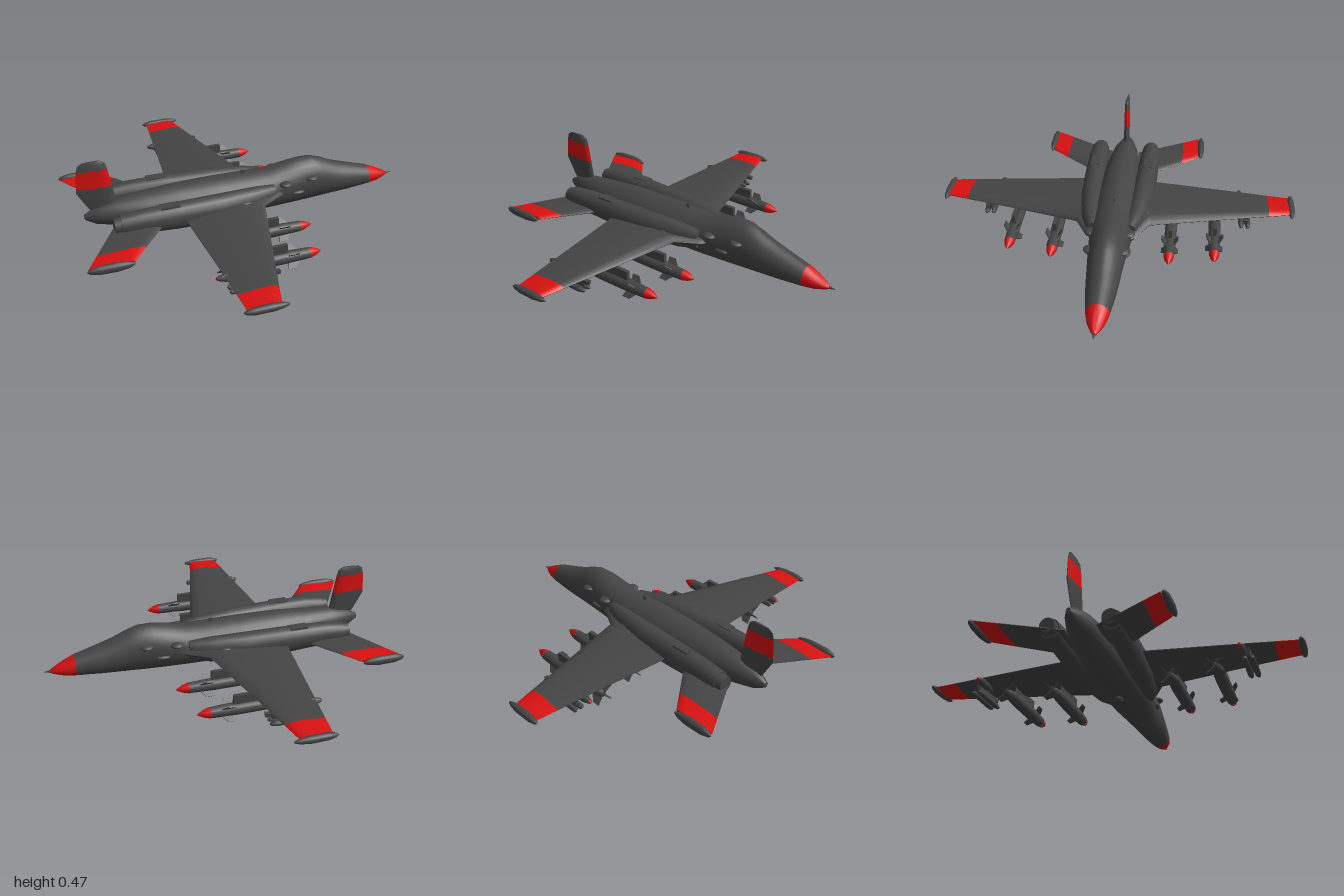
import * as THREE from 'three';
import { toCreasedNormals } from 'three/addons/utils/BufferGeometryUtils.js';

const grey = new THREE.MeshStandardMaterial({ color: 0x444444 });
grey.name = 'dark grey paint';
const red = new THREE.MeshStandardMaterial({ color: 0xd81010 });
red.name = 'red paint';

// Skin a list of equal-length point rings, cap both ends, and face it outwards.
function loft(rings, crease = 0.7) {
  const n = rings[0].length, pos = [], idx = [];
  rings.forEach(r => r.forEach(p => pos.push(...p)));
  for (let i = 0; i < rings.length - 1; i++)
    for (let j = 0; j < n; j++) {
      const a = i * n + j, b = i * n + (j + 1) % n;
      idx.push(a, b, a + n, b, b + n, a + n);
    }
  [0, rings.length - 1].forEach((k, end) => {
    const c = pos.length / 3;
    pos.push(...[0, 1, 2].map(d => rings[k].reduce((s, p) => s + p[d], 0) / n));
    for (let j = 0; j < n; j++) {
      const a = k * n + j, b = k * n + (j + 1) % n;
      idx.push(...(end ? [c, a, b] : [c, b, a]));
    }
  });
  const v = i => new THREE.Vector3().fromArray(pos, i * 3);
  let volume = 0;
  for (let i = 0; i < idx.length; i += 3) volume += v(idx[i]).dot(v(idx[i + 1]).cross(v(idx[i + 2])));
  if (volume < 0) idx.reverse();
  const g = new THREE.BufferGeometry();
  g.setAttribute('position', new THREE.Float32BufferAttribute(pos, 3));
  g.setIndex(idx);
  return toCreasedNormals(g, crease);
}

// Body section at x: top, bottom, half width, offset in z.
function section([x, top, bot, w, z = 0], pinch = 1.15, n = 28) {
  const mid = bot + (top - bot) * 0.5;
  return Array.from({ length: n }, (_, i) => {
    const a = i / n * Math.PI * 2, c = Math.cos(a);
    return [x, mid + Math.sin(a) * (top - bot) / 2, z + Math.sign(c) * Math.abs(c) ** pinch * w];
  });
}

// Aerofoil outline: fraction of the chord and half thickness.
const foil = [[0, 0], [0.04, 0.55], [0.15, 0.9], [0.35, 1], [0.7, 0.65], [1, 0.12],
  [1, -0.12], [0.7, -0.65], [0.35, -1], [0.15, -0.9], [0.04, -0.55]];
// Station [span, leading x, trailing x, height, half thickness]; interpolated at any span.
function stationAt(list, s) {
  let i = 0;
  while (i < list.length - 2 && s > list[i + 1][0]) i++;
  const a = list[i], b = list[i + 1], t = (s - a[0]) / (b[0] - a[0]);
  return a.map((q, k) => q + (b[k] - q) * t);
}
function surface(list, from, to, place) {
  const spans = [from, ...list.map(l => l[0]).filter(s => s > from && s < to), to];
  return loft(spans.map(s => {
    const [, le, te, h, th] = stationAt(list, s);
    return foil.map(([c, t]) => place(le + (te - le) * c, h, t * th, s));
  }));
}

export function createModel() {
  const root = new THREE.Group();
  root.name = 'jetAircraft';
  function add(name, geo, mat = grey, x = 0, y = 0, z = 0, parent = root) {
    const m = new THREE.Mesh(geo, mat);
    m.name = name;
    m.position.set(x, y, z);
    parent.add(m);
    return m;
  }
  // Round body along x from [x, radius] points, given back to front.
  const turned = (pts, sides = 16) =>
    new THREE.LatheGeometry(pts.map(([x, r]) => new THREE.Vector2(r, x)), sides).rotateZ(-Math.PI / 2);
  const blob = (name, x, y, z, sx, sy, sz) =>
    add(name, new THREE.SphereGeometry(1, 14, 10).scale(sx, sy, sz), grey, x, y, z);

  // Fuselage with the canopy hump, and the red nose
  add('fuselage', loft([
    [-0.86, 0.165, 0.135, 0.012], [-0.8, 0.2, 0.1, 0.04], [-0.7, 0.225, 0.08, 0.07],
    [-0.54, 0.24, 0.05, 0.095], [-0.37, 0.252, 0.033, 0.11], [-0.15, 0.255, 0.022, 0.12],
    [0.05, 0.253, 0.02, 0.12], [0.16, 0.255, 0.02, 0.115], [0.26, 0.275, 0.02, 0.108],
    [0.34, 0.288, 0.021, 0.1], [0.41, 0.288, 0.024, 0.095], [0.47, 0.268, 0.028, 0.09],
    [0.54, 0.235, 0.033, 0.085], [0.62, 0.208, 0.038, 0.078], [0.76, 0.165, 0.05, 0.06],
  ].map(s => section(s))));
  add('noseCone', loft([[0.76, 0.165, 0.05, 0.06], [0.82, 0.138, 0.058, 0.045],
    [0.87, 0.112, 0.072, 0.022], [0.89, 0.099, 0.081, 0.01]].map(s => section(s))), red);
  add('noseProbe', turned([[0.88, 0.012], [0.9, 0.006], [0.925, 0.001]], 8), grey, 0, 0.09);
  blob('bellyBump', -0.1, 0.022, 0, 0.04, 0.022, 0.025);
  blob('bellySensor', 0.3, 0.03, 0, 0.05, 0.016, 0.025);
  add('spineAntenna', new THREE.BoxGeometry(0.02, 0.025, 0.008), grey, 0.01, 0.26);

  // Fin with a red band
  const fin = [[0.15, -0.66, -0.8, 0, 0.016], [0.2, -0.685, -0.835, 0, 0.016],
    [0.3, -0.7, -0.89, 0, 0.016], [0.42, -0.72, -0.88, 0, 0.015],
    [0.455, -0.73, -0.87, 0, 0.013], [0.47, -0.755, -0.845, 0, 0.006]];
  const upright = (x, h, t, s) => [x, s, t];
  add('finBase', surface(fin, 0.15, 0.32, upright));
  add('finBand', surface(fin, 0.32, 0.42, upright), red);
  add('finTip', surface(fin, 0.42, 0.47, upright));

  const wing = [[0.05, 0.24, -0.37, 0.15, 0.03], [0.13, 0.2, -0.368, 0.15, 0.028],
    [0.2, 0.07, -0.365, 0.148, 0.026], [0.6, -0.037, -0.33, 0.14, 0.019], [0.97, -0.135, -0.3, 0.13, 0.013]];
  const tail = [[0.08, -0.4, -0.7, 0.145, 0.016], [0.21, -0.5, -0.78, 0.14, 0.014],
    [0.45, -0.695, -0.925, 0.136, 0.011]];

  for (const s of [1, -1]) {
    const side = s > 0 ? 'left' : 'right';
    const flat = (x, h, t, span) => [x, h + t, s * span];

    // Wing and tailplane with red bands and tip pods
    add(side + 'Wing', surface(wing, 0.05, 0.85, flat));
    add(side + 'WingBand', surface(wing, 0.85, 0.965, flat), red);
    add(side + 'Tailplane', surface(tail, 0.08, 0.35, flat));
    add(side + 'TailBand', surface(tail, 0.35, 0.445, flat), red);
    const pod = [[-0.115, 0], [-0.1, 0.011], [-0.06, 0.019], [0.03, 0.02], [0.08, 0.014], [0.105, 0.006], [0.11, 0]];
    add(side + 'WingTipPod', turned(pod), grey, -0.21, 0.13, s * 0.978);
    add(side + 'TailTipPod', turned(pod).scale(1.06, 1.25, 1), grey, -0.81, 0.135, s * 0.46);

    // Engine nacelle beside the fuselage, with a nozzle
    add(side + 'Nacelle', loft([[-0.7, 0.215, 0.11, 0.05, 0.155], [-0.6, 0.228, 0.1, 0.056, 0.155],
      [-0.4, 0.232, 0.085, 0.062, 0.15], [-0.15, 0.23, 0.075, 0.065, 0.14], [0.05, 0.222, 0.08, 0.055, 0.12],
      [0.16, 0.205, 0.1, 0.035, 0.1]].map(([x, t, b, w, z]) => section([x, t, b, w, s * z], 0.95, 20))));
    add(side + 'Nozzle', new THREE.CylinderGeometry(0.045, 0.04, 0.04, 16).rotateZ(-Math.PI / 2),
      grey, -0.715, 0.163, s * 0.155);

    // Small blisters and scoops on the fuselage sides
    blob(side + 'FrontBlister', 0.385, 0.2, s * 0.085, 0.036, 0.014, 0.034);
    blob(side + 'RearBlister', 0.225, 0.195, s * 0.1, 0.036, 0.015, 0.034);
    blob(side + 'CheekBlister', 0.3, 0.13, s * 0.1, 0.04, 0.012, 0.018);
    blob(side + 'NacelleScoop', -0.03, 0.155, s * 0.175, 0.05, 0.025, 0.025);
    add(side + 'EngineVent', new THREE.BoxGeometry(0.1, 0.02, 0.05), grey, -0.44, 0.222, s * 0.155);

    // Missiles on pylons
    for (const [label, z, tip] of [['Inner', 0.315, 0.29], ['Outer', 0.555, 0.245]]) {
      const g = new THREE.Group();
      g.name = side + label + 'Missile';
      g.position.set(tip, 0.06, s * z);
      root.add(g);
      add('missileBody', turned([[-0.53, 0], [-0.53, 0.018], [-0.46, 0.029], [-0.36, 0.033], [-0.18, 0.033], [-0.07, 0.028]]),
        grey, 0, 0, 0, g);
      add('missileNose', turned([[-0.07, 0.029], [-0.04, 0.021], [-0.015, 0.009], [0, 0]]), red, 0, 0, 0, g);
      for (let k = 0; k < 4; k++) {
        const a = Math.PI / 4 + k * Math.PI / 2;
        for (const [name, x, reach] of [['frontFin', -0.15, 0.063], ['rearFin', -0.5, 0.06]]) {
          const shape = new THREE.Shape([[0.04, 0.01], [-0.035, 0.01], [-0.045, reach], [-0.005, reach]]
            .map(p => new THREE.Vector2(...p)));
          const f = add(name, new THREE.ExtrudeGeometry(shape, { depth: 0.006, bevelEnabled: false })
            .translate(0, 0, -0.003), grey, x, 0, 0, g);
          f.rotation.x = a;
        }
      }
      add('pylon', new THREE.BoxGeometry(0.28, 0.07, 0.02), grey, -0.33, 0.045, 0, g);
    }

    // Outboard launcher: pylon, twin small stores and red tail end
    add(side + 'LauncherPylon', new THREE.BoxGeometry(0.2, 0.05, 0.018), grey, -0.19, 0.11, s * 0.72);
    for (const dz of [-0.018, 0.018])
      add(side + 'LauncherTube', turned([[-0.12, 0], [-0.11, 0.014], [0.08, 0.016], [0.11, 0.01], [0.12, 0]], 10),
        grey, -0.19, 0.068, s * (0.72 + dz));
    add(side + 'FlapFairing', turned([[-0.07, 0.01], [-0.03, 0.022], [0.04, 0.02], [0.12, 0]], 12),
      grey, -0.285, 0.122, s * 0.69);
    add(side + 'FairingEnd', turned([[-0.078, 0], [-0.07, 0.011]], 10), red, -0.285, 0.122, s * 0.69);
    const nub = add(side + 'WingFence', new THREE.BoxGeometry(0.05, 0.02, 0.02), grey, -0.075, 0.12, s * 0.728);
    nub.rotation.y = s * 0.2;
  }
  return root;
}
